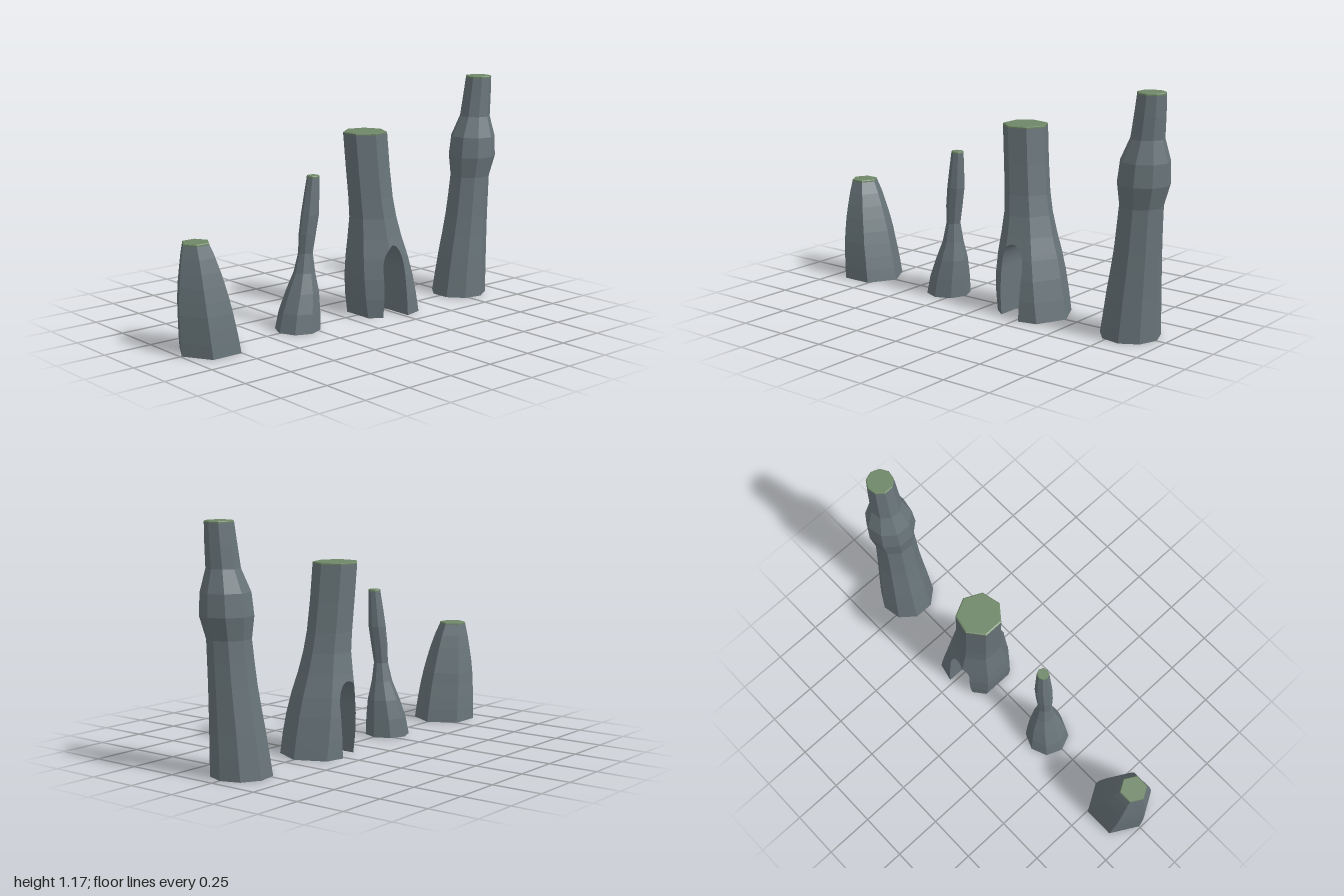
import * as THREE from 'three';

const rock = new THREE.MeshStandardMaterial({ color: 0x69757a, flatShading: true });
const grass = new THREE.MeshStandardMaterial({ color: 0x6f8768, flatShading: true });

// Lofted solid through rings of points with equal counts, flat faced
function loft(rings, capTop = true, capBottom = true) {
  const pos = [], ab = new THREE.Vector3(), ac = new THREE.Vector3();
  const tri = (a, b, c) => {
    ab.subVectors(b, a); ac.subVectors(c, a);
    if (ab.cross(ac).length() < 1e-8) return;
    for (const p of [a, b, c]) pos.push(p.x, p.y, p.z);
  };
  for (let k = 0; k + 1 < rings.length; k++) {
    const a = rings[k], b = rings[k + 1], n = a.length;
    for (let i = 0; i < n; i++) {
      const j = (i + 1) % n;
      tri(a[i], b[i], b[j]);
      tri(a[i], b[j], a[j]);
    }
  }
  const lo = rings[0], hi = rings[rings.length - 1];
  for (let i = 1; i + 1 < lo.length; i++) {
    if (capBottom) tri(lo[0], lo[i], lo[i + 1]);
    if (capTop) tri(hi[0], hi[i + 1], hi[i]);
  }
  const g = new THREE.BufferGeometry();
  g.setAttribute('position', new THREE.Float32BufferAttribute(pos, 3));
  g.computeVertexNormals();
  return g;
}

// Regular ring for a station [y, centre x, centre z, radius]
function ring([y, cx, cz, r], sides) {
  return Array.from({ length: sides }, (_, i) => {
    const a = (i / sides) * Math.PI * 2;
    return new THREE.Vector3(cx + r * Math.cos(a), y, cz + r * Math.sin(a));
  });
}

// Station interpolated at any height
function stationAt(stations, y) {
  let k = 0;
  while (k < stations.length - 2 && stations[k + 1][0] < y) k++;
  const a = stations[k], b = stations[k + 1], t = (y - a[0]) / (b[0] - a[0]);
  return a.map((v, i) => v + (b[i] - v) * t);
}

function add(group, name, geometry, material) {
  const m = new THREE.Mesh(geometry, material);
  m.name = name;
  group.add(m);
}

// Thin bevelled grass cap on the last station
function addCap(group, stations, sides) {
  const [y, x, z, r] = stations[stations.length - 1];
  const levels = [[y, x, z, r], [y + 0.006, x, z, r], [y + 0.01, x, z, r * 0.94]];
  add(group, 'grassCap', loft(levels.map(s => ring(s, sides))), grass);
}

function pillar(name, stations, sides) {
  const g = new THREE.Group();
  g.name = name;
  add(g, 'rockBody', loft(stations.map(s => ring(s, sides))), rock);
  addCap(g, stations, sides);
  return g;
}

// Seven-sided pillar pierced from front to back by an arch
function archedPillar(name, stations, arch) {
  const g = new THREE.Group();
  g.name = name;
  const apex = arch.spring + arch.rise;

  // heights and half widths of the opening
  const levels = [0, 0.1, 0.2, arch.spring].map(y => [y, arch.half]);
  for (let i = 1; i <= 10; i++) {
    const a = (i / 10) * Math.PI / 2;
    levels.push([arch.spring + arch.rise * Math.sin(a), i === 10 ? 0 : arch.half * Math.cos(a)]);
  }

  const left = [], right = [];
  for (const [y, half] of levels) {
    const v = ring(stationAt(stations, y), 7);
    // point on the polygon's front or back outline at a given x
    const onEdge = (x, chain) => {
      const [p, q, s] = chain.map(i => v[i]);
      const [a, b] = x > q.x ? [p, q] : [q, s];
      return new THREE.Vector3(x, y, a.z + (b.z - a.z) * (x - a.x) / (b.x - a.x));
    };
    const front = [1, 2, 3], back = [6, 5, 4];
    const xl = arch.x - half, xr = arch.x + half;
    const ml = Math.min(v[2].x, xl), mr = Math.max(v[2].x, xr);
    left.push([onEdge(xl, front), onEdge(ml, front), v[3], v[4], onEdge(ml, back), onEdge(xl, back)]);
    right.push([onEdge(xr, back), onEdge(mr, back), v[6], v[0], v[1], onEdge(mr, front), onEdge(xr, front)]);
  }
  add(g, 'rightLeg', loft(left, false), rock);
  add(g, 'leftLeg', loft(right, false), rock);

  const upper = [stationAt(stations, apex), ...stations.filter(s => s[0] > apex)];
  add(g, 'rockBody', loft(upper.map(s => ring(s, 7)), true, false), rock);
  addCap(g, stations, 7);
  return g;
}

export function createModel() {
  const model = new THREE.Group();
  model.name = 'rockPillars';

  // short six-sided stump
  model.add(pillar('stumpPillar', [
    [0, -0.833, 0, 0.159], [0.065, -0.841, 0, 0.155], [0.13, -0.849, 0, 0.149],
    [0.195, -0.858, 0, 0.142], [0.26, -0.865, -0.002, 0.133], [0.325, -0.873, -0.003, 0.121],
    [0.39, -0.88, -0.004, 0.106], [0.455, -0.888, -0.006, 0.089], [0.515, -0.897, -0.008, 0.069],
  ], 6));

  // slender pillar with a pinched waist
  model.add(pillar('slenderPillar', [
    [0, -0.308, -0.003, 0.113], [0.095, -0.298, -0.001, 0.102], [0.19, -0.282, 0.002, 0.082],
    [0.285, -0.271, 0.005, 0.053], [0.38, -0.266, 0.008, 0.036], [0.475, -0.256, 0.011, 0.042],
    [0.57, -0.242, 0.015, 0.044], [0.66, -0.234, 0.018, 0.038], [0.75, -0.226, 0.021, 0.031],
  ], 8));

  // broad pillar with an archway
  model.add(archedPillar('archedPillar', [
    [0, 0.249, 0, 0.188], [0.1, 0.234, -0.002, 0.186], [0.2, 0.222, -0.005, 0.178],
    [0.3, 0.212, -0.009, 0.162], [0.4, 0.202, -0.014, 0.14], [0.5, 0.194, -0.018, 0.122],
    [0.6, 0.183, -0.023, 0.115], [0.75, 0.17, -0.03, 0.113], [0.925, 0.158, -0.037, 0.113],
  ], { x: 0.205, half: 0.066, spring: 0.24, rise: 0.125 }));

  // tall pillar with a bulge below the top
  model.add(pillar('tallPillar', [
    [0, 0.804, -0.002, 0.146], [0.106, 0.813, 0, 0.138], [0.212, 0.822, 0.003, 0.13],
    [0.318, 0.833, 0.006, 0.121], [0.424, 0.843, 0.009, 0.113], [0.53, 0.851, 0.012, 0.108],
    [0.636, 0.859, 0.014, 0.104], [0.742, 0.87, 0.016, 0.125], [0.848, 0.876, 0.016, 0.117],
    [0.954, 0.887, 0.018, 0.08], [1.06, 0.898, 0.02, 0.074], [1.157, 0.906, 0.022, 0.068],
  ], 9));

  return model;
}
